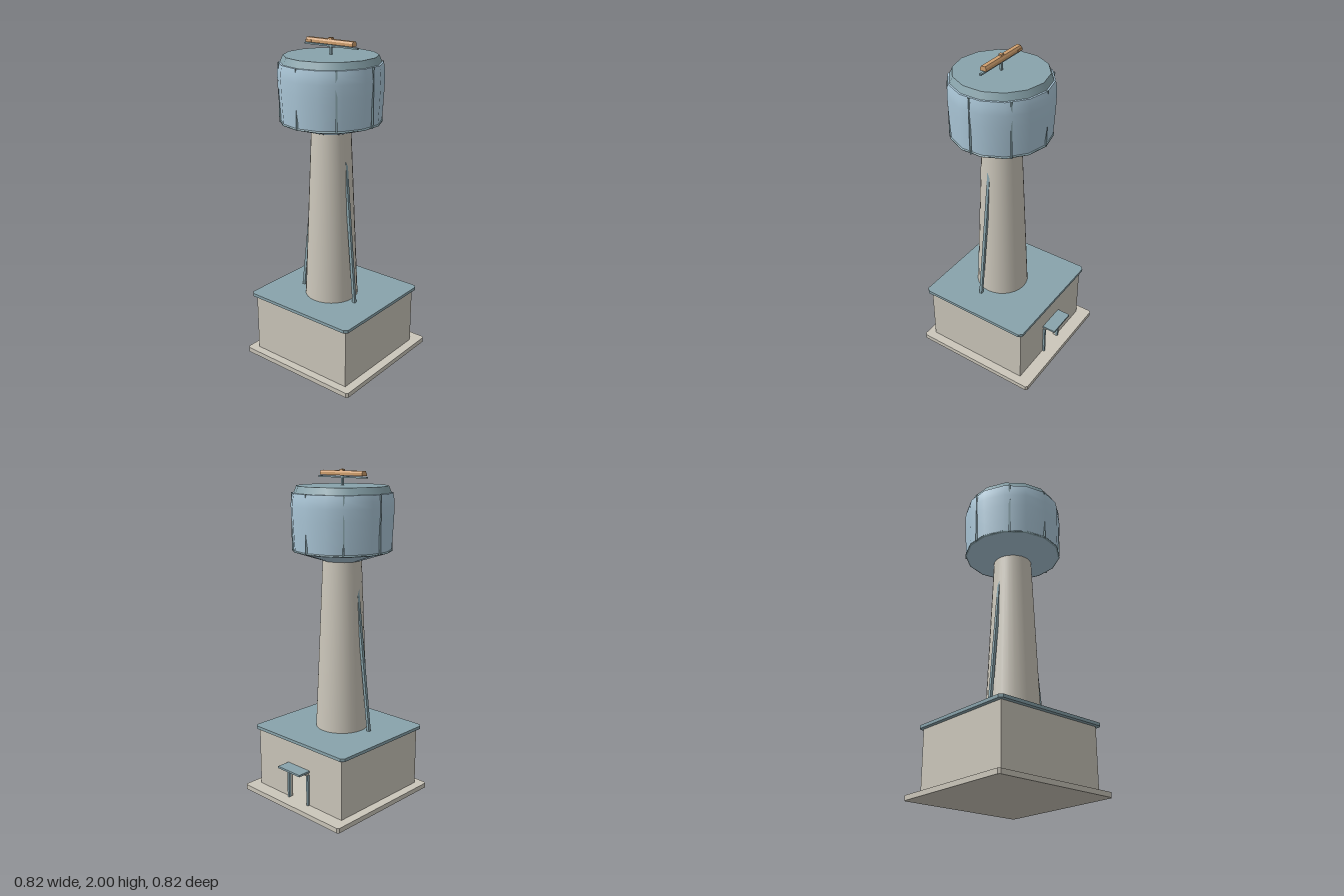
import * as THREE from 'three';

const mat = (name, color) => {
  const m = new THREE.MeshStandardMaterial({ color });
  m.name = name;
  return m;
};

export function createModel() {
  const concrete = mat('warm concrete', 0xcbc6ba);
  const teal = mat('grey teal', 0x88a3ab);
  const blue = mat('pale blue', 0xabc7d8);
  const orange = mat('orange', 0xcf9f6e);

  const model = new THREE.Group();
  model.name = 'waterTower';
  const AXIS = -0.052; // tower centre line in x

  const add = (name, geo, material, x = 0, y = 0, z = 0) => {
    const mesh = new THREE.Mesh(geo, material);
    mesh.name = name;
    mesh.position.set(x, y, z);
    model.add(mesh);
    return mesh;
  };
  // box given by its lower and upper corners
  const box = (name, material, [x0, y0, z0], [x1, y1, z1]) =>
    add(name, new THREE.BoxGeometry(x1 - x0, y1 - y0, z1 - z0), material,
      (x0 + x1) / 2, (y0 + y1) / 2, (z0 + z1) / 2);
  // flat slab with cut corners
  const slab = (name, material, x0, x1, hz, y0, y1, c) => {
    const shape = new THREE.Shape([
      [x0 + c, -hz], [x1 - c, -hz], [x1, -hz + c], [x1, hz - c],
      [x1 - c, hz], [x0 + c, hz], [x0, hz - c], [x0, -hz + c],
    ].map(([x, y]) => new THREE.Vector2(x, y)));
    const geo = new THREE.ExtrudeGeometry(shape, { depth: y1 - y0, bevelEnabled: false });
    return add(name, geo.rotateX(-Math.PI / 2), material, 0, y0, 0);
  };
  // lathe around the tower axis, profile from bottom to top
  const lathe = (name, material, points, sides = 14) =>
    add(name, new THREE.LatheGeometry(points.map(([r, y]) => new THREE.Vector2(r, y)),
      sides, Math.PI / 2), material, AXIS);

  // foundation, hollow pump house and its roof
  slab('foundation', concrete, -0.41, 0.41, 0.41, 0, 0.03, 0.012);
  const T = 0.02;
  box('backWall', concrete, [-0.36, 0.03, -0.355], [0.325, 0.407, -0.355 + T]);
  box('frontWall', concrete, [-0.36, 0.03, 0.355 - T], [0.325, 0.407, 0.355]);
  box('rightWall', concrete, [-0.36, 0.03, -0.355 + T], [-0.36 + T, 0.407, 0.355 - T]);
  const wall = new THREE.Shape([
    [-0.355 + T, 0.03], [-0.077, 0.03], [-0.077, 0.225], [0.077, 0.225],
    [0.077, 0.03], [0.355 - T, 0.03], [0.355 - T, 0.407], [-0.355 + T, 0.407],
  ].map(([x, y]) => new THREE.Vector2(x, y)));
  add('doorWall', new THREE.ExtrudeGeometry(wall, { depth: T, bevelEnabled: false })
    .rotateY(Math.PI / 2), concrete, 0.325 - T);
  slab('houseRoof', teal, -0.387, 0.344, 0.381, 0.405, 0.424, 0.02);

  // doorway: posts, lintel and canopy
  for (const s of [-1, 1]) {
    box('doorPost', teal, [0.322, 0.03, s * 0.083 - 0.007], [0.338, 0.228, s * 0.083 + 0.007]);
  }
  box('doorLintel', concrete, [0.322, 0.226, -0.085], [0.345, 0.246, 0.085]);
  box('doorCanopy', teal, [0.322, 0.244, -0.093], [0.41, 0.256, 0.093]);

  // tapering shaft
  lathe('shaft', concrete, [[0.163, 0.42], [0.117, 1.48]], 28);

  // leaning struts at the front and back of the shaft
  for (const s of [-1, 1]) {
    const foot = new THREE.Vector3(-0.08, 0.42, s * 0.203);
    const head = new THREE.Vector3(-0.06, 1.36, s * 0.108);
    const dir = head.clone().sub(foot);
    const strut = add('strut', new THREE.BoxGeometry(0.018, dir.length(), 0.018), teal);
    strut.position.copy(foot).add(head).multiplyScalar(0.5);
    strut.quaternion.setFromUnitVectors(new THREE.Vector3(0, 1, 0), dir.normalize());
  }

  // tank: cone underside, rim, bulging wall and lid
  lathe('tankUnderside', blue, [[0.11, 1.468], [0.293, 1.527]]);
  lathe('tankRim', teal, [[0.29, 1.526], [0.299, 1.528], [0.299, 1.536], [0.29, 1.538]]);
  lathe('tankWall', blue, [[0.293, 1.53], [0.299, 1.62], [0.304, 1.72],
    [0.306, 1.79], [0.304, 1.83], [0.297, 1.865]]);
  lathe('tankShoulder', blue, [[0.297, 1.865], [0.285, 1.867]]);
  lathe('tankLidEdge', teal, [[0.288, 1.866], [0.271, 1.906]]);
  lathe('tankLid', teal, [[0.271, 1.906], [0, 1.906]]);

  // eight slim ribs round the tank
  for (let i = 0; i < 8; i++) {
    const a = (i * Math.PI) / 4;
    const rib = add('tankRib', new THREE.BoxGeometry(0.01, 0.34, 0.01), teal,
      AXIS + 0.294 * Math.cos(a), 1.697, 0.294 * Math.sin(a));
    rib.rotation.y = Math.PI / 4;
  }

  // mast, cross rod and orange beacon bar
  box('mast', teal, [AXIS - 0.006, 1.9, -0.006], [AXIS + 0.006, 1.97, 0.006]);
  box('crossRod', teal, [AXIS - 0.007, 1.95, -0.192], [AXIS + 0.007, 1.959, 0.192]);
  const bar = new THREE.Shape([
    [-0.019, 1.964], [0.019, 1.964], [0.019, 1.98], [0.012, 1.991], [-0.012, 1.991], [-0.019, 1.98],
  ].map(([x, y]) => new THREE.Vector2(x, y)));
  add('beaconBar', new THREE.ExtrudeGeometry(bar, { depth: 0.335, bevelEnabled: false }),
    orange, AXIS, 0, -0.17);
  box('beaconHousing', orange, [AXIS - 0.022, 1.964, -0.171], [AXIS + 0.022, 1.978, -0.127]);
  box('beaconCap', orange, [AXIS - 0.011, 1.985, -0.011], [AXIS + 0.011, 2, 0.011]);

  return model;
}
